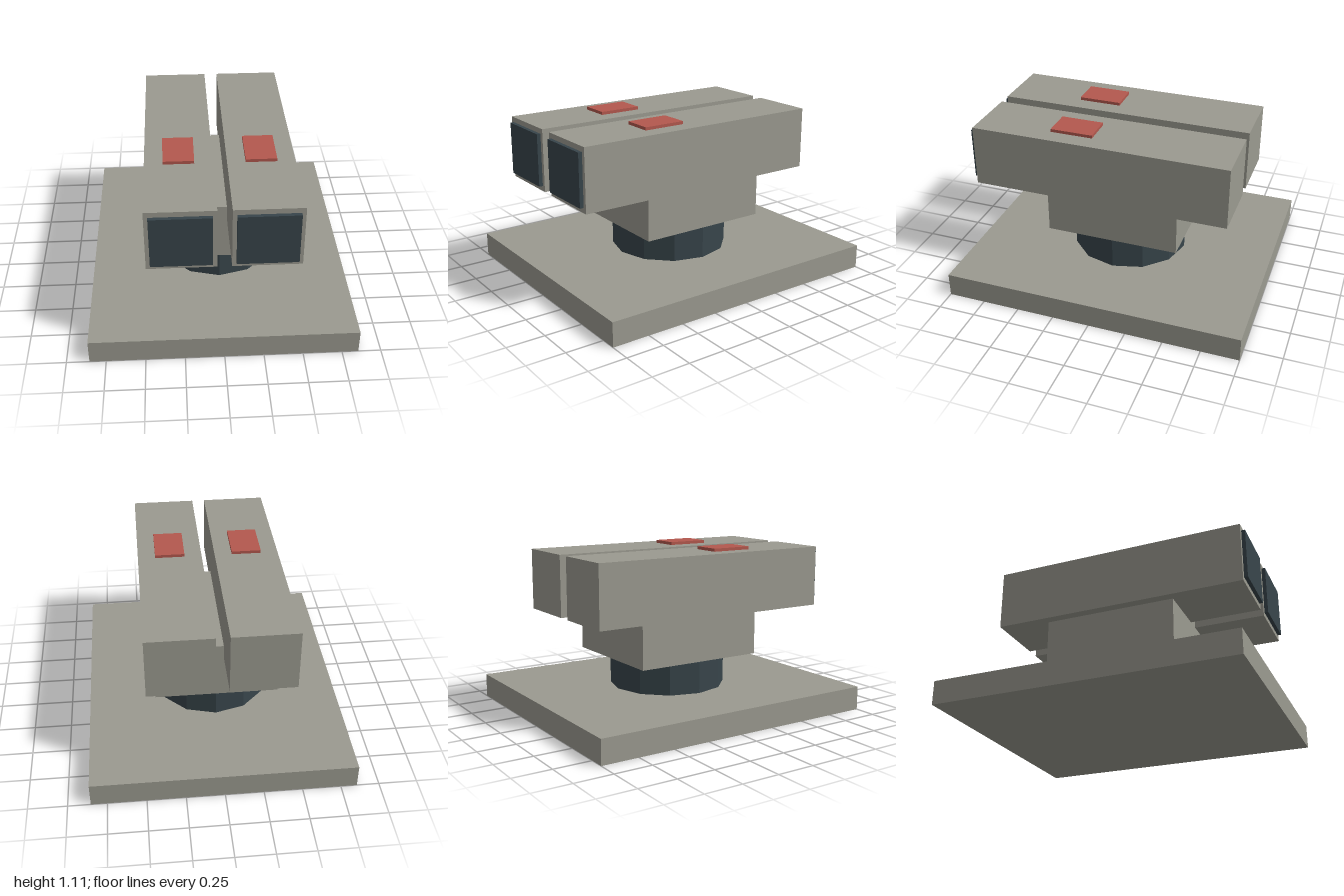
import * as THREE from 'three';

const material = (name, color) => {
  const m = new THREE.MeshStandardMaterial({ color });
  m.name = name;
  return m;
};

export function createModel() {
  const grey = material('warmGrey', 0x9b9a90);
  const dark = material('darkSlate', 0x38454b);
  const red = material('dullRed', 0xb3584e);
  const model = new THREE.Group();
  model.name = 'twinBoxTurret';

  // Box given by its extents along each axis
  const box = (parent, name, mat, [x0, x1], [y0, y1], [z0, z1]) => {
    const mesh = new THREE.Mesh(new THREE.BoxGeometry(x1 - x0, y1 - y0, z1 - z0), mat);
    mesh.position.set((x0 + x1) / 2, (y0 + y1) / 2, (z0 + z1) / 2);
    mesh.name = name;
    parent.add(mesh);
  };

  // Base slab
  box(model, 'base', grey, [-0.855, 0.855], [0, 0.16], [-1, 1]);

  // Twelve-sided turntable, stopping just short of the pedestal
  const drum = new THREE.CylinderGeometry(0.393, 0.393, 0.21, 12).toNonIndexed();
  drum.computeVertexNormals();
  const turntable = new THREE.Mesh(drum, dark);
  turntable.position.y = 0.265;
  turntable.name = 'turntable';
  model.add(turntable);

  // Pedestal that carries both pods
  box(model, 'pedestal', grey, [-0.408, 0.408], [0.378, 0.77], [-0.447, 0.447]);

  // Pair of long pods, each with a front cover and a top marker
  for (const side of [1, -1]) {
    const pod = new THREE.Group();
    pod.name = side > 0 ? 'leftPod' : 'rightPod';
    pod.position.x = side * 0.257;
    box(pod, 'podBody', grey, [-0.213, 0.213], [0.68, 1.09], [-0.787, 0.93]);
    box(pod, 'frontCover', dark, [-0.187, 0.187], [0.714, 1.056], [0.92, 0.955]);
    box(pod, 'topMarker', red, [-0.098, 0.098], [1.08, 1.11], [0.142, 0.426]);
    model.add(pod);
  }
  return model;
}
